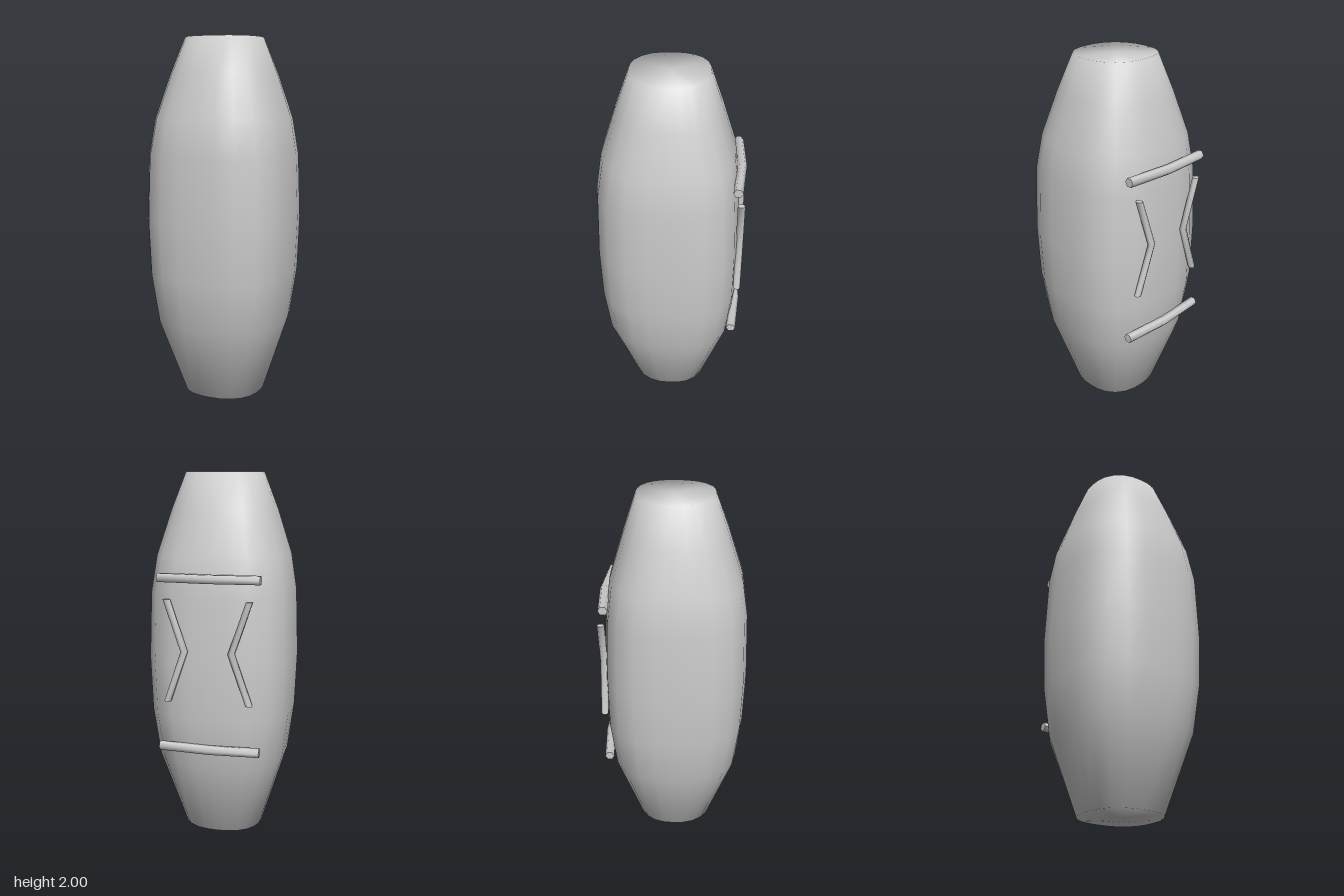
import * as THREE from 'three';

const material = new THREE.MeshStandardMaterial({ color: 0xcccccc });

// Barrel-like body: rounded-square sections [y, half width, front z, back z, squareness]
const SECTIONS = [
  [0, 0.22, 0.22, 0.21, 2.4],
  [0.43, 0.354, 0.365, 0.35, 2.8],
  [0.7, 0.388, 0.395, 0.378, 3],
  [1, 0.4, 0.405, 0.38, 3],
  [1.36, 0.388, 0.395, 0.366, 3],
  [1.56, 0.359, 0.365, 0.342, 2.8],
  [1.8, 0.285, 0.288, 0.268, 2.6],
  [2, 0.21, 0.215, 0.2, 2.4],
];

function bodyGeometry(sides = 24) {
  const positions = [];
  const index = [];
  for (const [y, halfWidth, front, back, n] of SECTIONS) {
    for (let i = 0; i < sides; i++) {
      const a = (i / sides) * Math.PI * 2;
      const s = Math.sin(a);
      const c = Math.cos(a);
      const r = Math.pow(Math.abs(s) ** n + Math.abs(c) ** n, -1 / n);
      positions.push(s * r * halfWidth, y, c * r * (c > 0 ? front : back));
    }
  }
  // Centre points of the flat ends
  const rows = SECTIONS.length;
  const bottom = rows * sides;
  const top = bottom + 1;
  positions.push(0, 0, 0, 0, 2, 0);

  for (let i = 0; i < sides; i++) {
    const j = (i + 1) % sides;
    for (let k = 0; k < rows - 1; k++) {
      const lo = k * sides;
      const hi = lo + sides;
      index.push(lo + i, lo + j, hi + j, lo + i, hi + j, hi + i);
    }
    const last = (rows - 1) * sides;
    index.push(bottom, j, i, top, last + i, last + j);
  }
  const geometry = new THREE.BufferGeometry();
  geometry.setAttribute('position', new THREE.Float32BufferAttribute(positions, 3));
  geometry.setIndex(index);
  geometry.computeVertexNormals();
  return geometry;
}

// Upright rod whose middle is pushed sideways by (bendX, bendZ)
function bentRod(radius, length, bendX, bendZ, sides) {
  const geometry = new THREE.CylinderGeometry(radius, radius, length, sides, 2);
  const p = geometry.attributes.position;
  for (let i = 0; i < p.count; i++) {
    const k = 1 - Math.abs(p.getY(i)) / (length / 2);
    p.setX(i, p.getX(i) + bendX * k);
    p.setZ(i, p.getZ(i) + bendZ * k);
  }
  geometry.computeVertexNormals();
  return geometry;
}

export function createModel() {
  const model = new THREE.Group();
  const add = (name, geometry, x, y, z) => {
    const mesh = new THREE.Mesh(geometry, material);
    mesh.name = name;
    mesh.position.set(x, y, z);
    model.add(mesh);
  };

  add('body', bodyGeometry(), 0, 0, 0);

  // Slightly bowed crossbars on the back
  const bar = bentRod(0.026, 0.55, 0, -0.018, 6).rotateZ(Math.PI / 2);
  add('upperBackBar', bar, 0, 1.46, -0.36);
  add('lowerBackBar', bar, 0, 0.54, -0.36);

  // Pair of chevrons between the bars, points facing inwards
  for (const side of [-1, 1]) {
    const chevron = bentRod(0.02, 0.55, -side * 0.095, -0.004, 6);
    add(side > 0 ? 'leftChevron' : 'rightChevron', chevron, side * 0.222, 1.075, -0.381);
  }
  return model;
}
